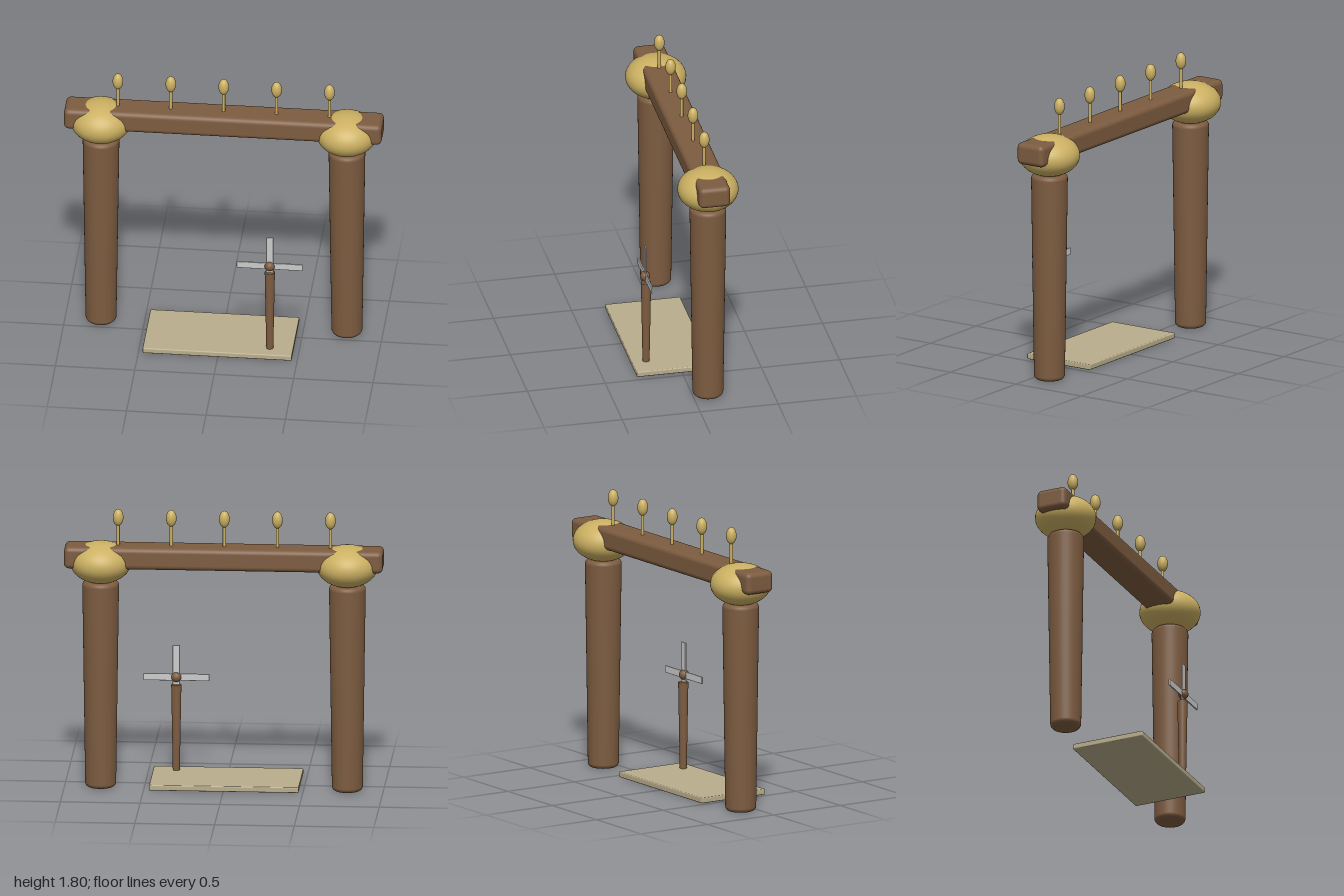
import * as THREE from 'three';
import { RoundedBoxGeometry } from 'three/addons/geometries/RoundedBoxGeometry.js';

const material = (color) => new THREE.MeshStandardMaterial({ color });
const wood = material(0x7d5c40);
const gold = material(0xcbb062);
const stone = material(0xb9ad8c);
const steel = material(0xbfbfc2);

function addMesh(parent, name, geometry, mat, x, y, z) {
  const mesh = new THREE.Mesh(geometry, mat);
  mesh.name = name;
  mesh.position.set(x, y, z);
  parent.add(mesh);
  return mesh;
}

// Tapered round post standing on y = 0, with softly rounded rims
function roundedPost(rBottom, rTop, height, bevel) {
  const points = [new THREE.Vector2(0, 0)];
  const steps = 5;
  for (let i = 0; i <= steps; i++) {
    const a = (i / steps) * Math.PI / 2;
    points.push(new THREE.Vector2(rBottom - bevel + bevel * Math.sin(a), bevel - bevel * Math.cos(a)));
  }
  for (let i = 0; i <= steps; i++) {
    const a = (i / steps) * Math.PI / 2;
    points.push(new THREE.Vector2(rTop - bevel + bevel * Math.cos(a), height - bevel + bevel * Math.sin(a)));
  }
  points.push(new THREE.Vector2(0, height));
  return new THREE.LatheGeometry(points, 40);
}

function ellipsoid(rx, ry, rz) {
  return new THREE.SphereGeometry(1, 40, 28).scale(rx, ry, rz);
}

export function createModel() {
  const model = new THREE.Group();
  model.name = 'gateway';
  const gateZ = -0.098;

  // Pillars with bulging capitals
  for (const [side, s] of [['left', 1], ['right', -1]]) {
    addMesh(model, side + 'Pillar', roundedPost(0.097, 0.115, 1.33, 0.028), wood, s * 0.774, 0.005, gateZ);
    addMesh(model, side + 'Capital', ellipsoid(0.192, 0.132, 0.192), gold, s * 0.774, 1.456, gateZ);
  }

  // Crossbeam
  addMesh(model, 'crossbeam', new RoundedBoxGeometry(2, 0.14, 0.2, 5, 0.032), wood, 0, 1.5, gateZ);

  // Row of finials along the beam
  for (let i = 0; i < 5; i++) {
    const finial = new THREE.Group();
    finial.name = 'finial' + (i + 1);
    finial.position.set(-0.668 + i * 0.333, 1.55, gateZ);
    addMesh(finial, 'finialStem', new THREE.CylinderGeometry(0.01, 0.01, 0.17, 16), gold, 0, 0.085, 0);
    addMesh(finial, 'finialBulb', ellipsoid(0.033, 0.054, 0.033), gold, 0, 0.196, 0);
    model.add(finial);
  }

  // Floor slab
  addMesh(model, 'floorSlab', new RoundedBoxGeometry(0.938, 0.036, 0.48, 2, 0.007), stone, -0.004, 0.022, 0.05);

  // Standing cross: tapered post, two thin bars and a round boss
  const cross = new THREE.Group();
  cross.name = 'standingCross';
  cross.position.set(0.319, 0, 0.205);
  addMesh(cross, 'crossPost', roundedPost(0.022, 0.032, 0.56, 0.004), wood, 0, 0.033, -0.005);
  addMesh(cross, 'horizontalBar', new RoundedBoxGeometry(0.415, 0.045, 0.01, 2, 0.003), steel, 0, 0.639, 0);
  addMesh(cross, 'verticalBar', new RoundedBoxGeometry(0.045, 0.415, 0.01, 2, 0.003), steel, 0, 0.639, 0);
  addMesh(cross, 'boss', new THREE.SphereGeometry(0.032, 24, 16), wood, 0, 0.639, 0.001);
  model.add(cross);

  return model;
}
